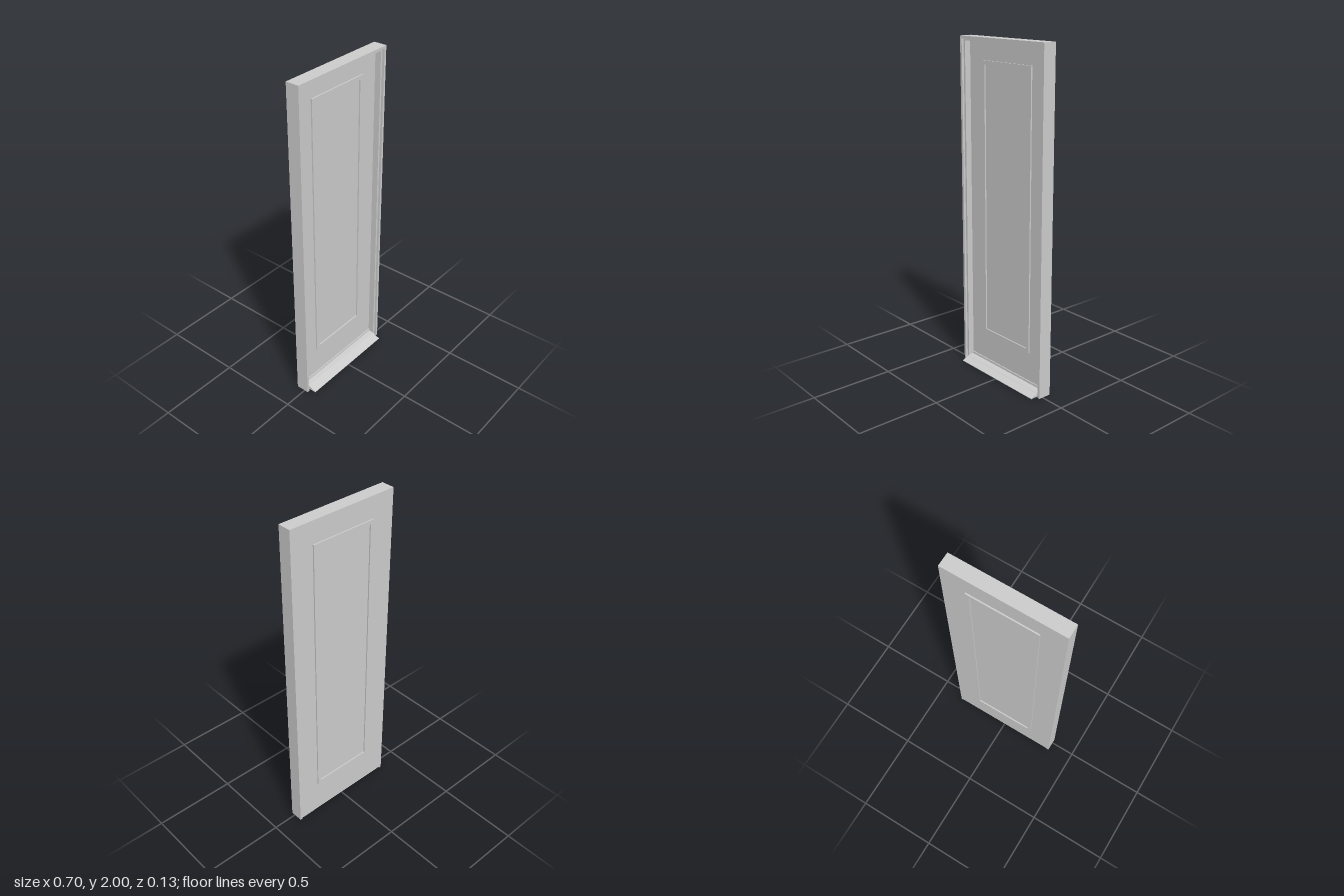
import * as THREE from 'three';

const material = new THREE.MeshStandardMaterial({ color: 0xcccccc, flatShading: true });

function add(group, name, geometry) {
  const mesh = new THREE.Mesh(geometry, material);
  mesh.name = name;
  group.add(mesh);
  return mesh;
}

// Box given by its limits
function box(x0, x1, y0, y1, z0, z1) {
  return new THREE.BoxGeometry(x1 - x0, y1 - y0, z1 - z0)
    .translate((x0 + x1) / 2, (y0 + y1) / 2, (z0 + z1) / 2);
}

// Upside-down U: two posts and a head, open at the bottom
function portal(outerX, outerTop, innerX, innerTop, z0, z1) {
  const shape = new THREE.Shape([
    [-outerX, 0], [-innerX, 0], [-innerX, innerTop], [innerX, innerTop],
    [innerX, 0], [outerX, 0], [outerX, outerTop], [-outerX, outerTop],
  ].map(([x, y]) => new THREE.Vector2(x, y)));
  return new THREE.ExtrudeGeometry(shape, { depth: z1 - z0, bevelEnabled: false }).translate(0, 0, z0);
}

// Closed rectangular moulding
function moulding(halfWidth, bottom, top, width, z0, z1) {
  const rect = (inset) => [
    [-halfWidth + inset, bottom + inset], [halfWidth - inset, bottom + inset],
    [halfWidth - inset, top - inset], [-halfWidth + inset, top - inset],
  ].map(([x, y]) => new THREE.Vector2(x, y));
  const shape = new THREE.Shape(rect(0));
  shape.holes.push(new THREE.Path(rect(width)));
  return new THREE.ExtrudeGeometry(shape, { depth: z1 - z0, bevelEnabled: false }).translate(0, 0, z0);
}

export function createModel() {
  const door = new THREE.Group();
  door.name = 'door';

  // Frame with a set-back stop along its inner edge
  add(door, 'frame', portal(0.348, 2, 0.333, 1.985, -0.056, 0.025));
  add(door, 'doorStop', portal(0.333, 1.985, 0.32, 1.973, -0.025, 0.012));

  // Door leaf, flush with the back of the frame
  add(door, 'doorLeaf', box(-0.333, 0.333, 0.01, 1.985, -0.056, -0.025));

  // Raised panel mouldings on both faces
  add(door, 'backMoulding', moulding(0.206, 0.22, 1.87, 0.023, -0.064, -0.056));
  add(door, 'frontMoulding', moulding(0.206, 0.22, 1.87, 0.023, -0.025, -0.017));

  // Sloped sill, swept across the opening
  const profile = [
    [0.062, 0], [0.062, 0.003], [0.022, 0.018], [0.012, 0.025],
    [-0.018, 0.029], [-0.019, 0.042], [-0.025, 0.042], [-0.025, 0.01], [-0.05, 0.01], [-0.05, 0],
  ].map(([z, y]) => new THREE.Vector2(-z, y));
  const sill = new THREE.ExtrudeGeometry(new THREE.Shape(profile), { depth: 0.64, bevelEnabled: false });
  sill.rotateY(Math.PI / 2).translate(-0.32, 0, 0);
  add(door, 'sill', sill);

  return door;
}
